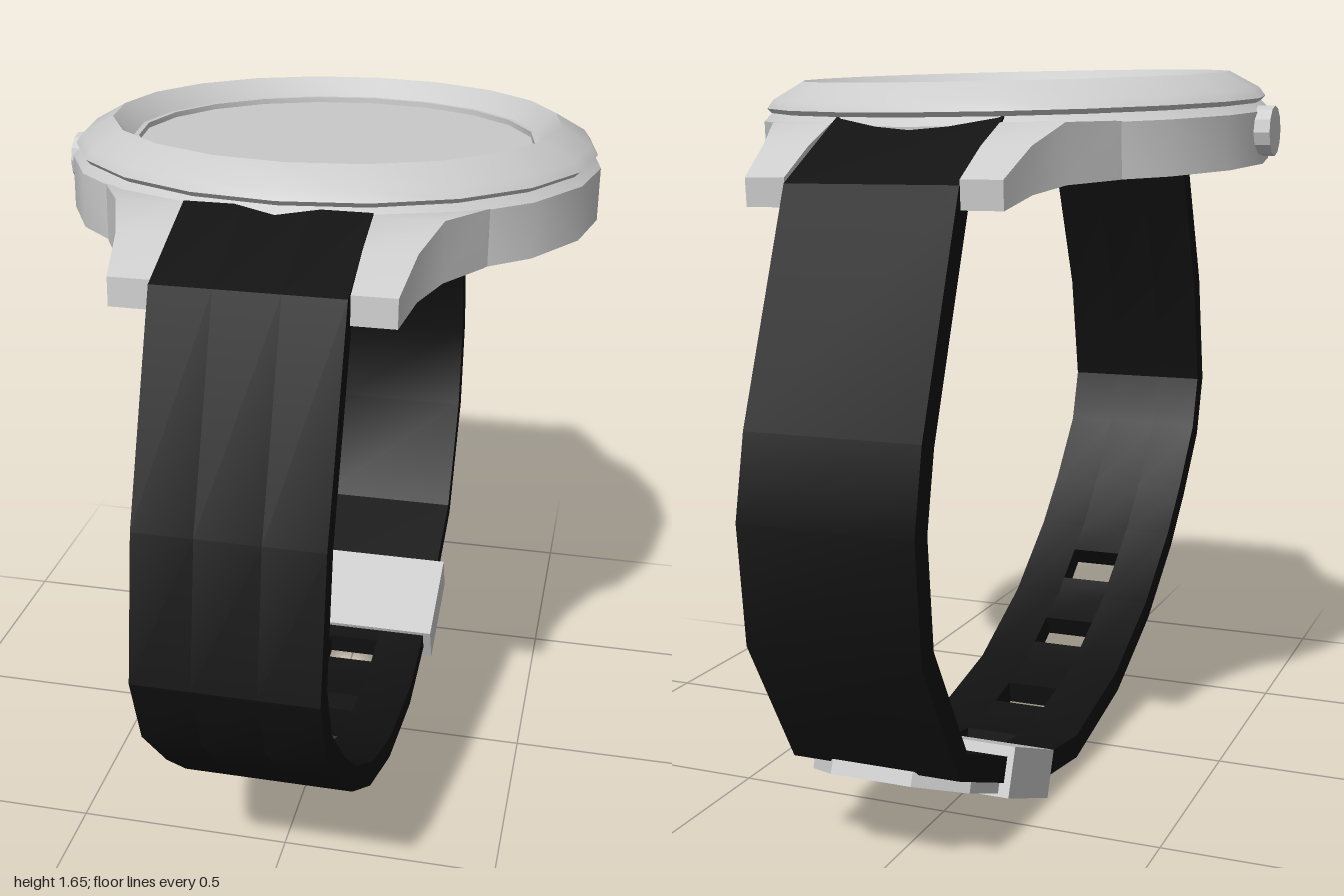
import * as THREE from 'three';
import { toCreasedNormals } from 'three/addons/utils/BufferGeometryUtils.js';

const CX = 0.012;          // middle of the watch in x
const HALF = 0.187;        // half the strap width
const THICK = 0.055;       // strap thickness
const grey = new THREE.MeshStandardMaterial({ color: 0xcccccc });
const black = new THREE.MeshStandardMaterial({ color: 0x111111 });

function part(name, geometry, material = grey) {
  const mesh = new THREE.Mesh(toCreasedNormals(geometry, 0.5), material);
  mesh.name = name;
  return mesh;
}

function lathe(profile) {
  return new THREE.LatheGeometry(profile.map(([r, y]) => new THREE.Vector2(r, y)), 20);
}

// Band of even thickness along a (z, y) path, from x0 to x1
function band(path, x0, x1) {
  const pts = path.map(([z, y]) => new THREE.Vector2(z, y));
  const inner = [], outer = [];
  pts.forEach((p, i) => {
    const a = p.clone().sub(pts[Math.max(i - 1, 0)]).normalize();
    const b = pts[Math.min(i + 1, pts.length - 1)].clone().sub(p).normalize();
    const dir = a.clone().add(b).normalize();
    const ref = i ? a : b;
    const d = THICK / 2 / dir.dot(ref);
    const n = new THREE.Vector2(-dir.y, dir.x).multiplyScalar(d);
    outer.push(p.clone().add(n));
    inner.unshift(p.clone().sub(n));
  });
  const geo = new THREE.ExtrudeGeometry(new THREE.Shape([...outer, ...inner]),
    { depth: x1 - x0, bevelEnabled: false });
  return geo.rotateY(-Math.PI / 2).translate(x1, 0, 0);
}

// Tapering lug, lofted through stations of [z, outer x, bottom y, top y]
function lug(sx, sz) {
  const stations = [
    [0.36, 0.42, 0, 0.11], [0.44, 0.387, 0, 0.118], [0.56, 0.325, 0, 0.122],
    [0.66, 0.292, -0.01, 0.083], [0.765, 0.275, -0.03, 0.028],
  ];
  const geo = new THREE.BoxGeometry(1, 1, 1, 1, 1, 4);
  const p = geo.attributes.position;
  for (let i = 0; i < p.count; i++) {
    const k = Math.round((p.getZ(i) * sz + 0.5) * 4);
    const [z, xo, yb, yt] = stations[k];
    p.setXYZ(i, sx * (p.getX(i) * sx > 0 ? xo : HALF), p.getY(i) > 0 ? yt : yb, sz * z);
  }
  return part('lug', geo);
}

function createCase() {
  const g = new THREE.Group();
  g.name = 'watchCase';
  g.add(part('caseBody', lathe([[0, 0], [0.585, 0], [0.585, 0.115], [0.565, 0.135], [0.5, 0.135]])));
  g.add(part('bezel', lathe([
    [0.56, 0.125], [0.577, 0.143], [0.563, 0.162], [0.495, 0.2],
    [0.452, 0.158], [0.44, 0.158], [0.44, 0.14],
  ])));
  g.add(part('screen', lathe([[0.45, 0.146], [0, 0.146]])));
  for (const sx of [-1, 1]) for (const sz of [-1, 1]) g.add(lug(sx, sz));

  const crown = part('crown', new THREE.CylinderGeometry(0.055, 0.055, 0.06, 12).rotateZ(Math.PI / 2));
  crown.position.set(-0.582, 0.072, 0);
  g.add(crown);

  g.position.set(CX, 1.425, -0.02);
  g.rotation.x = -0.063;
  return g;
}

// Front strap: two solid edges and a middle interrupted by square holes
function createFrontStrap() {
  const g = new THREE.Group();
  g.name = 'frontStrap';
  const path = [
    [0.52, 1.562], [0.745, 1.48], [0.915, 1.07], [0.972, 0.78], [0.925, 0.632], [0.79, 0.475],
    [0.67, 0.36], [0.46, 0.212], [0.2, 0.096], [-0.11, 0.036], [-0.35, 0.072], [-0.45, 0.105],
  ];
  const holes = [[0.595, 0.51], [0.365, 0.275], [0.085, -0.005], [-0.19, -0.275]];
  const half = 0.065;
  g.add(part('strapEdge', band(path, CX - HALF, CX - half), black));
  g.add(part('strapEdge', band(path, CX + half, CX + HALF), black));

  const lower = path.slice(6);
  const at = (z) => {
    const i = lower.findIndex((q) => q[0] < z);
    const [a, b] = [lower[i - 1], lower[i]];
    return [z, a[1] + (b[1] - a[1]) * (z - a[0]) / (b[0] - a[0])];
  };
  let piece = path.slice(0, 7);
  holes.forEach(([start, end], i) => {
    piece.push(at(start));
    g.add(part('strapMiddle', band(piece, CX - half, CX + half), black));
    const next = i + 1 < holes.length ? holes[i + 1][0] : -1;
    piece = [at(end), ...lower.filter((q) => q[0] < end && q[0] > next)];
  });
  g.add(part('strapMiddle', band(piece, CX - half, CX + half), black));
  return g;
}

function createBuckle() {
  const g = new THREE.Group();
  g.name = 'buckle';
  g.add(part('buckleBox', new THREE.BoxGeometry(0.41, 0.108, 0.255)));

  // Thin tongue with clipped corners, under the back strap
  const shape = new THREE.Shape([[-0.18, 0.1], [0.18, 0.1], [0.18, 0.29], [0.09, 0.385], [-0.09, 0.385], [-0.18, 0.29]]
    .map(([x, y]) => new THREE.Vector2(x, y)));
  const tongue = part('buckleTongue', new THREE.ExtrudeGeometry(shape, { depth: 0.03, bevelEnabled: false })
    .rotateX(-Math.PI / 2));
  tongue.position.y = -0.047;
  g.add(tongue);

  g.position.set(CX + 0.003, 0.103, -0.448);
  g.rotation.x = 0.385;
  return g;
}

export function createModel() {
  const model = new THREE.Group();
  model.name = 'wristwatch';
  const backPath = [
    [-0.55, 1.5], [-0.765, 1.375], [-0.937, 0.925], [-0.972, 0.76],
    [-0.948, 0.52], [-0.785, 0.245], [-0.5, 0.128],
  ];
  model.add(createCase(), createFrontStrap(), createBuckle());
  model.add(part('backStrap', band(backPath, CX - HALF, CX + HALF), black));
  return model;
}
